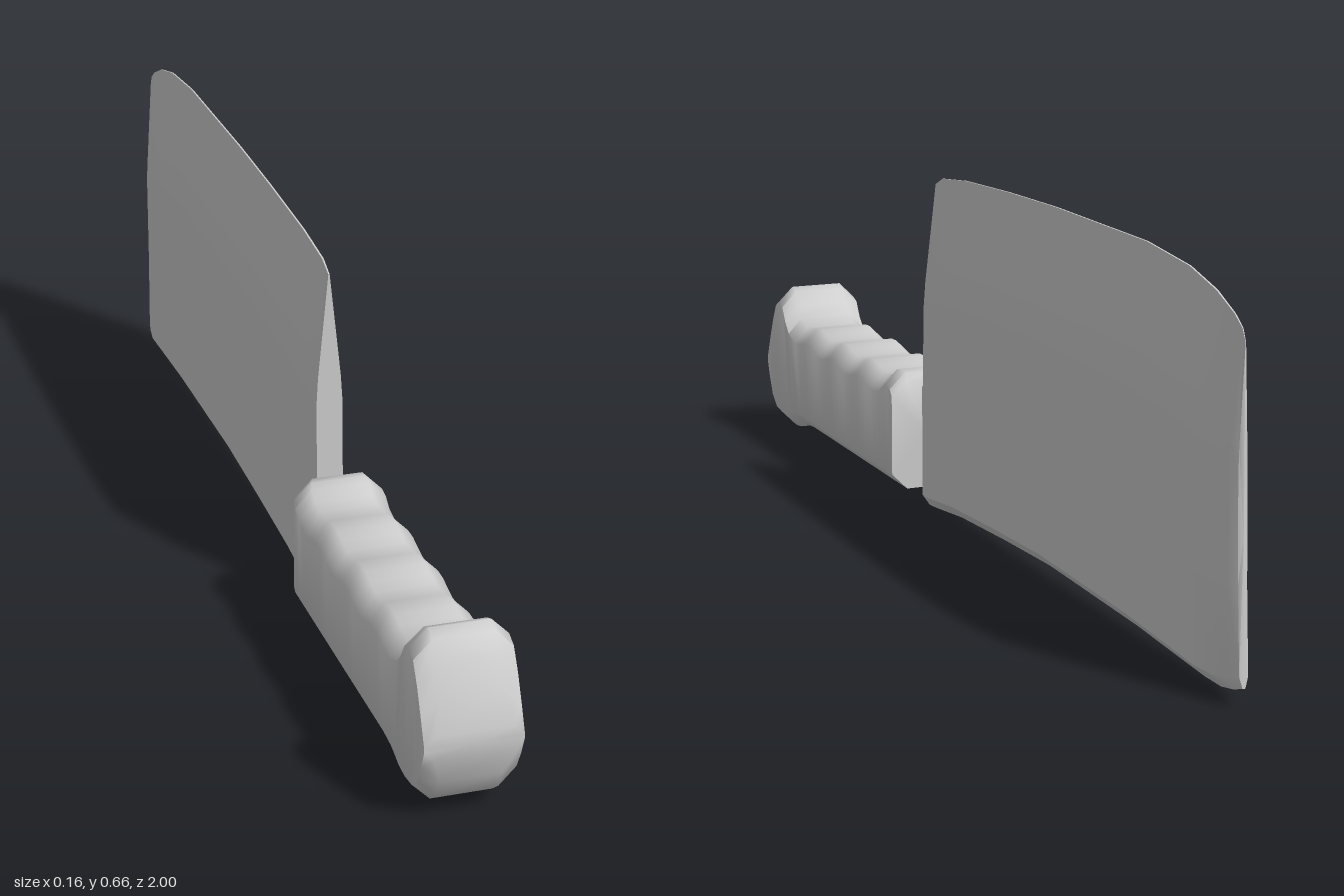
import * as THREE from 'three';
import { toCreasedNormals } from 'three/addons/utils/BufferGeometryUtils.js';

const lerp = THREE.MathUtils.lerp;

// Skin a list of closed rings (counter-clockwise from +z, running towards -z) and cap both ends
function loft(rings, crease) {
  const n = rings[0].length, last = rings.length - 1, index = [];
  const points = rings.flat();
  for (let i = 0; i < last; i++) {
    for (let j = 0; j < n; j++) {
      const k = (j + 1) % n;
      const a = i * n + j, b = i * n + k, c = a + n, d = b + n;
      index.push(a, c, b, b, c, d);
    }
  }
  for (const r of [0, last]) {
    const centre = new THREE.Vector3();
    rings[r].forEach(p => centre.addScaledVector(p, 1 / n));
    const m = points.push(centre) - 1;
    for (let j = 0; j < n; j++) {
      const a = r * n + j, b = r * n + (j + 1) % n;
      if (r === 0) index.push(m, a, b);
      else index.push(m, b, a);
    }
  }
  const geometry = new THREE.BufferGeometry().setFromPoints(points);
  geometry.setIndex(index);
  return toCreasedNormals(geometry, crease);
}

// Blade: wedge section with the cutting edge on top
function bladeGeometry() {
  // z at top, top y, z at bottom, bottom y, thickness factor
  const stations = [
    [0.245, 0.62, 0.265, 0.005, 0.75], [0.21, 0.635, 0.22, 0.01, 1],
    [0.1, 0.647, 0.1, 0.023, 1], [-0.1, 0.656, -0.1, 0.033, 1],
    [-0.3, 0.661, -0.3, 0.04, 1], [-0.65, 0.661, -0.65, 0.034, 1],
    [-0.8, 0.648, -0.8, 0.027, 1], [-0.89, 0.627, -0.89, 0.023, 1],
    [-0.95, 0.602, -0.94, 0.022, 0.75], [-0.975, 0.585, -0.975, 0.028, 0.5],
    [-0.985, 0.565, -1, 0.036, 0.25],
  ];
  // height fraction, half thickness
  const section = [[0, 0.01], [0.035, 0.03], [0.3, 0.031], [0.62, 0.031], [0.7, 0.027], [1, 0.0015]];
  const rings = stations.map(([zt, yt, zb, yb, s]) => {
    const end = zt < -0.9 ? 0.015 : 0;
    const at = ([f, w], side) => new THREE.Vector3(
      side * w * s, lerp(yb, yt, f), lerp(zb, zt, f) + end * f * (1 - f) * 2);
    return [...section.map(p => at(p, 1)), ...section.map(p => at(p, -1)).reverse()];
  });
  return loft(rings, 0.6);
}

// Handle: chamfered section with a hooked pommel and finger grooves on top
function handleGeometry() {
  // z at top, top y, z at bottom, bottom y
  const stations = [
    [0.999, 0.165, 1, 0.125], [0.98, 0.22, 0.99, 0.08], [0.96, 0.265, 0.972, 0.045],
    [0.94, 0.3, 0.945, 0.024], [0.92, 0.31, 0.91, 0.02], [0.902, 0.303, 0.88, 0.023],
    [0.885, 0.275, 0.86, 0.03], [0.865, 0.255, 0.84, 0.036], [0.83, 0.242, 0.8, 0.04],
  ];
  for (let i = 0; i <= 18; i++) {
    const z = 0.79 - i * 0.025;
    stations.push([z, 0.247 + 0.007 * Math.cos((z - 0.6) / 0.15 * Math.PI * 2), z, 0.04]);
  }
  stations.push([0.32, 0.26, 0.32, 0.04], [0.3, 0.265, 0.3, 0.04], [0.28, 0.262, 0.285, 0.04], [0.27, 0.25, 0.27, 0.04]);
  const rings = stations.map(([zt, yt, zb, yb], i) => {
    const h = yt - yb, c = Math.min(0.03, h * 0.4), right = 0.081;
    const left = -0.081 + [0.026, 0.012, 0.004][stations.length - 1 - i] || -0.081;
    const p = (x, y) => new THREE.Vector3(x, y, lerp(zb, zt, (y - yb) / h));
    return [
      p(right - c, yb), p(right, yb + c), p(right, yt - c), p(right - c, yt),
      p(left + c, yt), p(left, yt - c), p(left, yb + c), p(left + c, yb),
    ];
  });
  return loft(rings, 0.95);
}

export function createModel() {
  const group = new THREE.Group();
  group.name = 'cleaver';
  const material = new THREE.MeshStandardMaterial({ color: 0xcccccc });
  const add = (name, geometry) => {
    const mesh = new THREE.Mesh(geometry, material);
    mesh.name = name;
    group.add(mesh);
  };
  add('blade', bladeGeometry());
  add('handle', handleGeometry());

  // Tang joining the blade to the handle
  const tang = new THREE.BoxGeometry(0.04, 0.19, 0.06);
  tang.translate(0, 0.14, 0.265);
  add('tang', tang);
  return group;
}
